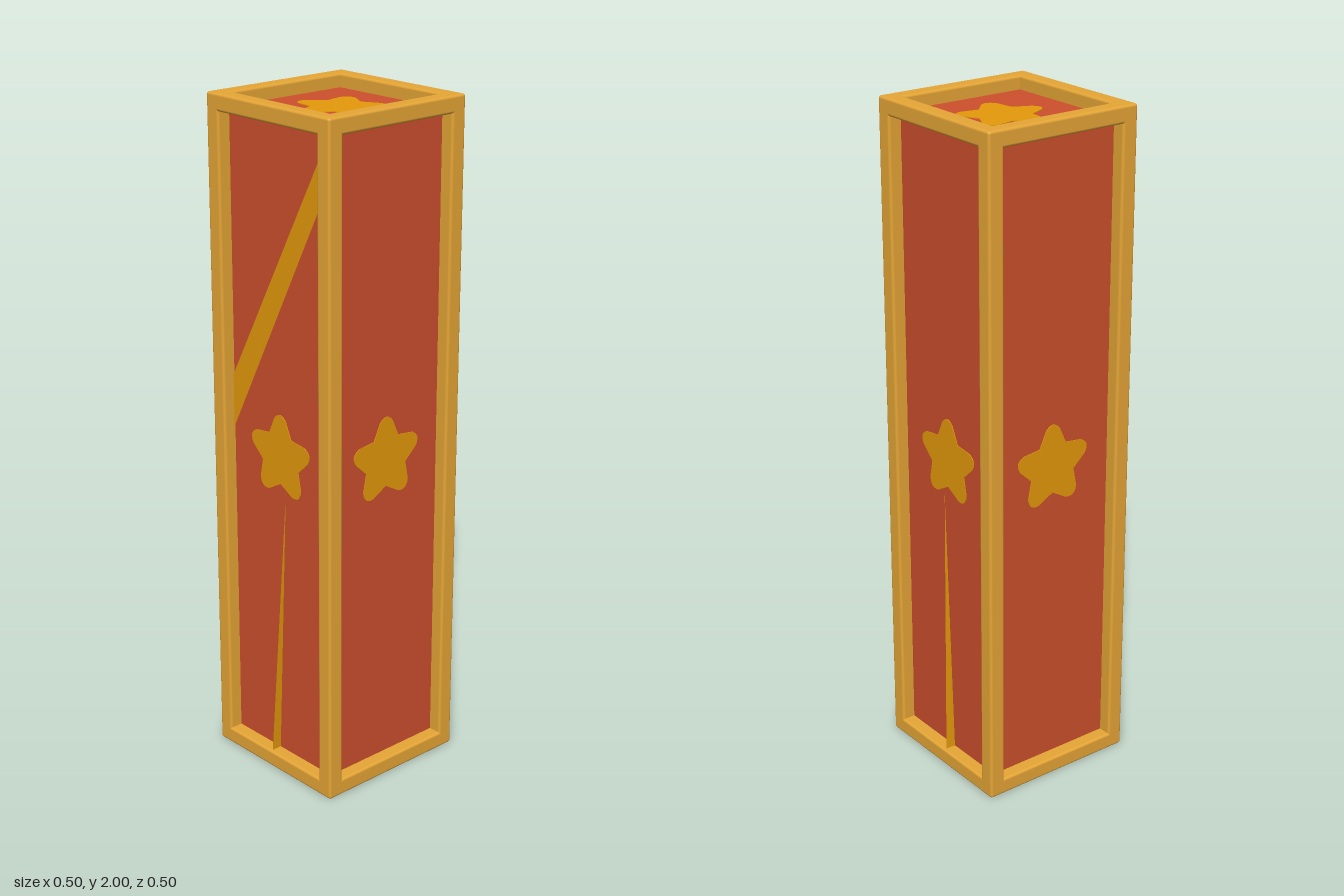
import * as THREE from 'three';
import { RoundedBoxGeometry } from 'three/addons/geometries/RoundedBoxGeometry.js';

const W = 0.5, H = 2, BAR = 0.05, RECESS = 0.04;

// Plump five-pointed star with rounded tips, one tip up
function starShape() {
  const shape = new THREE.Shape();
  const at = (r, a) => [r * Math.cos(a), r * Math.sin(a)];
  for (let i = 0; i < 5; i++) {
    const a = Math.PI / 2 + (i * Math.PI * 2) / 5;
    const start = at(0.118, a - 0.2);
    if (i === 0) shape.moveTo(...start);
    else shape.lineTo(...start);
    shape.quadraticCurveTo(...at(0.142, a), ...at(0.118, a + 0.2));
    shape.lineTo(...at(0.08, a + Math.PI / 5));
  }
  shape.closePath();
  return shape;
}

// Flat sliver as a fan of triangles around its first corner
function sliverGeometry(corners) {
  const geometry = new THREE.BufferGeometry().setFromPoints(corners.map((c) => new THREE.Vector3(...c)));
  const index = [];
  for (let i = 1; i < corners.length - 1; i++) index.push(0, i, i + 1);
  geometry.setIndex(index);
  geometry.computeVertexNormals();
  return geometry;
}

export function createModel() {
  const group = new THREE.Group();
  const material = (name, color) => {
    const m = new THREE.MeshStandardMaterial({ color });
    m.name = name;
    return m;
  };
  const frameMat = material('golden frame', 0xe6a636);
  const panelMat = material('red panel', 0xcd502d);
  const starMat = material('yellow star', 0xe5990a);
  starMat.side = THREE.DoubleSide;

  const add = (name, geometry, mat, x = 0, y = 0, z = 0) => {
    const mesh = new THREE.Mesh(geometry, mat);
    mesh.name = name;
    mesh.position.set(x, y, z);
    group.add(mesh);
    return mesh;
  };

  // Recessed core that forms all six panels
  const core = W - 2 * RECESS;
  add('panels', new THREE.BoxGeometry(core, H - 2 * RECESS, core), panelMat, 0, H / 2, 0);

  // Twelve softly rounded frame bars
  const bar = (x, y, z) => new RoundedBoxGeometry(x, y, z, 2, 0.008);
  const post = bar(BAR, H, BAR), railX = bar(W, BAR, BAR), railZ = bar(BAR, BAR, W);
  const e = (W - BAR) / 2;
  for (const s of [-1, 1]) {
    for (const t of [-1, 1]) {
      const y = H / 2 + (t * (H - BAR)) / 2;
      add('cornerPost', post, frameMat, s * e, H / 2, t * e);
      add('crossRail', railX, frameMat, 0, y, s * e);
      add('sideRail', railZ, frameMat, s * e, y, 0);
    }
  }

  // A thin star on every panel
  const starGeo = new THREE.ExtrudeGeometry(starShape(), { depth: 0.002, bevelEnabled: false, curveSegments: 6 });
  const d = core / 2, mid = H / 2 - 0.01;
  for (let i = 0; i < 4; i++) {
    const a = (i * Math.PI) / 2;
    add('sideStar', starGeo, starMat, Math.sin(a) * d, mid, Math.cos(a) * d).rotation.y = a;
  }
  add('topStar', starGeo, starMat, 0.013, H - RECESS, 0).rotation.set(-Math.PI / 2, 0, Math.PI / 2);
  add('bottomStar', starGeo, starMat, 0.013, RECESS, 0).rotation.set(Math.PI / 2, 0, Math.PI / 2);

  // Thin fins below the left and right stars
  for (const s of [-1, 1]) {
    add('sideFin', sliverGeometry([[s * d, 0.88, 0.02], [s * d, 0.04, -0.015], [s * 0.242, 0.04, -0.015]]), starMat);
  }
  // Fin across the underside
  add('bottomFin', sliverGeometry([[0.2, RECESS, 0.01], [0.2, 0.02, 0.01], [-0.21, 0.01, 0.01], [-0.21, RECESS, 0.01]]), starMat);
  // Slanting stripe on the right-hand panel, with its end showing at the front corner
  const sx = -d - 0.003;
  add('slantStripe', sliverGeometry([[sx, 1.94, 0.205], [sx, 1.81, 0.205], [sx, 1.03, -0.2], [sx, 1.19, -0.2]]), starMat);
  add('stripeEnd', sliverGeometry([[-0.2, 1.95, 0.213], [-0.2, 1.86, 0.213], [-0.175, 1.9, 0.213], [-0.175, 1.95, 0.213]]), starMat);

  return group;
}
